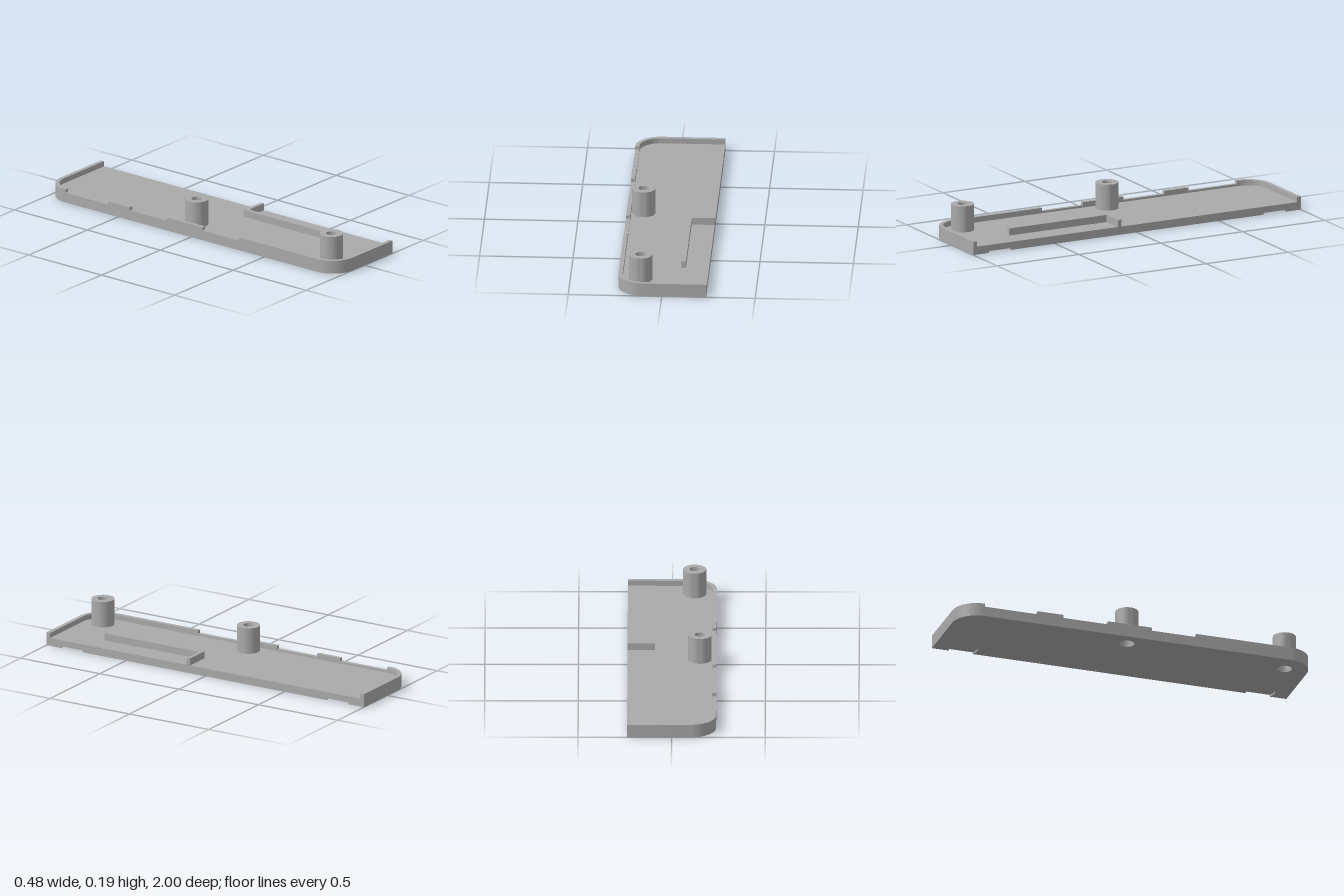
import * as THREE from 'three';
import { toCreasedNormals } from 'three/addons/utils/BufferGeometryUtils.js';

const HALF_W = 0.238, HALF_L = 1, RADIUS = 0.135, WALL = 0.022;
const FLOOR = 0.044, LOW = 0.055, HIGH = 0.073, RECESS = 0.01;
const POSTS = [[-0.149, -0.031], [-0.119, 0.868]]; // x, z
const BORE = 0.04, HOLE = 0.028;

// Outlines are drawn as (x, -z) and raised along y.
const pt = (x, z) => new THREE.Vector2(x, -z);

// Rounded corner from the long side to the end (s = 1 front, -1 back).
function corner(r, s) {
  const pts = [];
  for (let i = 0; i <= 16; i++) {
    const a = (i / 16) * Math.PI / 2;
    pts.push(pt(-HALF_W + RADIUS - r * Math.cos(a), s * (HALF_L - RADIUS + r * Math.sin(a))));
  }
  return pts;
}

// Round bite out of the open long edge, from front to back.
function bite(cx, cz, r) {
  const pts = [], a0 = Math.acos((HALF_W - cx) / r);
  for (let i = 0; i <= 32; i++) {
    const a = a0 + (i / 32) * 2 * (Math.PI - a0);
    pts.push(pt(cx + r * Math.cos(a), cz + r * Math.sin(a)));
  }
  return pts;
}

export function createModel() {
  const group = new THREE.Group();
  const grey = new THREE.MeshStandardMaterial({ color: 0xaaaaaa });
  grey.name = 'grey plastic';

  function add(name, geometry) {
    const mesh = new THREE.Mesh(toCreasedNormals(geometry, 0.6), grey);
    mesh.name = name;
    group.add(mesh);
    return mesh;
  }
  function slab(name, pts, y0, y1, drilled = false) {
    const shape = new THREE.Shape(pts);
    if (drilled) for (const [x, z] of POSTS) {
      shape.holes.push(new THREE.Path().absarc(x, -z, BORE, 0, Math.PI * 2, true));
    }
    const geo = new THREE.ExtrudeGeometry(shape, { depth: y1 - y0, bevelEnabled: false, curveSegments: 32 });
    add(name, geo.rotateX(-Math.PI / 2).translate(0, y0, 0));
  }
  function box(name, x0, x1, y0, y1, z0, z1) {
    add(name, new THREE.BoxGeometry(x1 - x0, y1 - y0, z1 - z0)
      .translate((x0 + x1) / 2, (y0 + y1) / 2, (z0 + z1) / 2));
  }

  // Floor: an underside layer with two foot recesses, and a full layer above
  const left = [...corner(RADIUS, -1).reverse(), ...corner(RADIUS, 1)];
  const frontEdge = pt(HALF_W, HALF_L), backEdge = pt(HALF_W, -HALF_L);
  slab('floorUnderside',
    [backEdge, ...left, frontEdge, ...bite(0.193, 0.838, 0.08), ...bite(0.193, -0.838, 0.08)],
    0, RECESS, true);
  slab('floor', [backEdge, ...left, frontEdge], RECESS, FLOOR, true);

  // End walls wrapping round the corners to the long side
  for (const [name, s, z] of [['frontWall', 1, 0.33], ['backWall', -1, -0.862]]) {
    slab(name, [
      pt(-HALF_W, z), ...corner(RADIUS, s), pt(HALF_W, s * HALF_L),
      pt(HALF_W, s * (HALF_L - WALL)), ...corner(RADIUS - WALL, s).reverse(), pt(-HALF_W + WALL, z),
    ], FLOOR, HIGH);
  }

  // Long side wall: low rim with raised tabs
  const inner = -HALF_W + WALL;
  box('lowRim', -HALF_W, inner, FLOOR, LOW, -0.862, 0.33);
  for (const [z0, z1] of [[-0.565, -0.42], [-0.168, 0.08]]) {
    box('rimTab', -HALF_W, inner, LOW, HIGH, z0, z1);
  }

  // L-shaped rib
  slab('rib', [
    pt(0.092, 0.095), pt(0.092, 0.71), pt(0.115, 0.71),
    pt(0.115, 0.117), pt(HALF_W, 0.117), pt(HALF_W, 0.095),
  ], FLOOR, 0.083);

  // Screw posts with a through hole, counterbored from below
  const profile = [
    [BORE, FLOOR], [0.0625, FLOOR], [0.0625, 0.187], [HOLE, 0.187],
    [HOLE, 0.1], [BORE, 0.1], [BORE, FLOOR],
  ].map(([x, y]) => new THREE.Vector2(x, y));
  for (const [x, z] of POSTS) {
    add('screwPost', new THREE.LatheGeometry(profile, 40)).position.set(x, 0, z);
  }
  return group;
}
